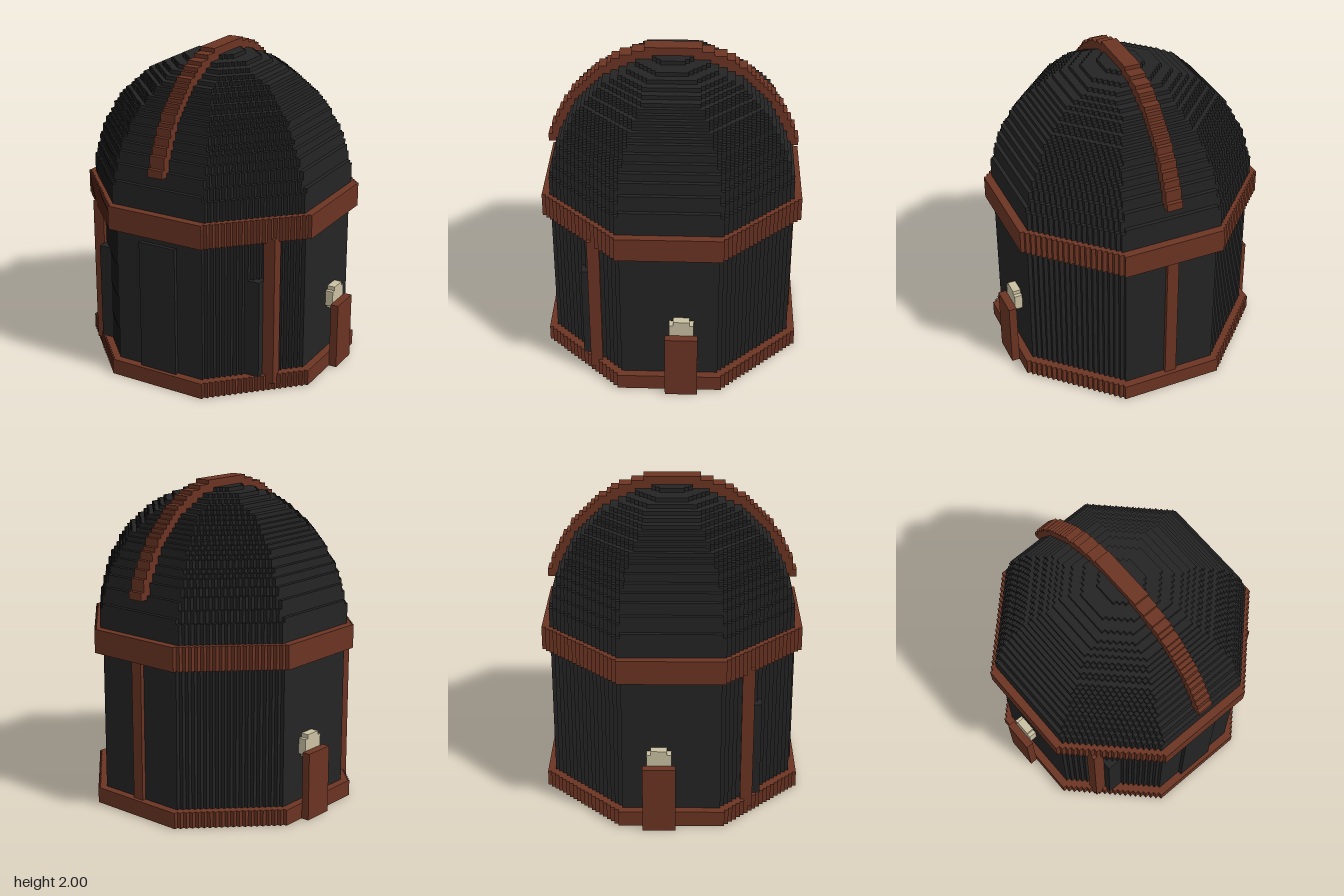
import * as THREE from 'three';
import { mergeGeometries } from 'three/addons/utils/BufferGeometryUtils.js';

const V = 0.025; // block size

// Stepped outline of an octagon of blocks whose outermost block centres lie within r
function steppedOctagon(r) {
  const quad = [];
  for (let j = 0; ; j++) {
    const z = (j + 0.5) * V;
    if (z > r + 1e-6) break;
    const h = V * Math.floor((Math.min(r, r * Math.SQRT2 - z) - V / 2) / V + 1 + 1e-6);
    if (h <= 0) break;
    quad.push([h, j * V], [h, (j + 1) * V]);
  }
  const back = [...quad].reverse();
  const all = [
    ...quad, ...back.map(([x, z]) => [-x, z]),
    ...quad.map(([x, z]) => [-x, -z]), ...back.map(([x, z]) => [x, -z]),
  ];
  // drop repeated points and points inside straight runs
  const pts = all.filter((p, i) => {
    const q = all[(i + 1) % all.length];
    return Math.hypot(p[0] - q[0], p[1] - q[1]) > 1e-6;
  });
  return pts.filter((p, i) => {
    const a = pts[(i + pts.length - 1) % pts.length], b = pts[(i + 1) % pts.length];
    return Math.abs((p[0] - a[0]) * (b[1] - p[1]) - (p[1] - a[1]) * (b[0] - p[0])) > 1e-9;
  }).map(([x, z]) => new THREE.Vector2(x, z));
}

// Upright prism between two heights, optionally hollow
function prism(r, y0, y1, holeR) {
  const shape = new THREE.Shape(steppedOctagon(r));
  if (holeR) shape.holes.push(new THREE.Path(steppedOctagon(holeR)));
  const g = new THREE.ExtrudeGeometry(shape, { depth: y1 - y0, bevelEnabled: false });
  return g.rotateX(-Math.PI / 2).translate(0, y0, 0);
}

export function createModel() {
  const group = new THREE.Group();
  const flat = (name, color) => {
    const m = new THREE.MeshStandardMaterial({ color });
    m.name = name;
    return m;
  };
  const black = flat('charcoal', 0x242424);
  const brown = flat('rustBrown', 0x6b3423);
  const cream = flat('cream', 0xcbc1a3);

  const add = (name, geometry, material) => {
    const mesh = new THREE.Mesh(geometry, material);
    mesh.name = name;
    group.add(mesh);
  };
  const box = (name, material, x0, x1, y0, y1, z0, z1) => add(name,
    new THREE.BoxGeometry(x1 - x0, y1 - y0, z1 - z0)
      .translate((x0 + x1) / 2, (y0 + y1) / 2, (z0 + z1) / 2), material);

  // Walls and the two trim bands
  const wallR = 0.7375, trimR = 0.7875, domeY = 1.125;
  add('walls', prism(wallR, 0, domeY), black);
  add('baseTrim', prism(trimR, 0, 0.1, wallR), brown);
  add('upperTrim', prism(trimR, 0.975, domeY, wallR), brown);

  // Dome: one block-high octagon per layer, following an ellipse
  const ellipse = (y, a, b) => a * Math.sqrt(Math.max(0, 1 - ((y - domeY) / b) ** 2));
  const layers = [];
  for (let i = 0; i < 33; i++) {
    const y = domeY + i * V;
    layers.push(prism(ellipse(y + V / 2, 0.75, 0.825), y, y + V));
  }
  add('dome', mergeGeometries(layers), black);

  // Stepped arch over the dome from front to back
  const side = [];
  for (let i = 0; i < 26; i++) {
    const y = 1.35 + i * V;
    const h = V * Math.round(ellipse(y + V / 2, 0.8, 0.885) / V);
    side.push([h, y], [h, y + V]);
  }
  const archPts = [...side, ...[...side].reverse().map(([z, y]) => [-z, y])];
  const archShape = new THREE.Shape(archPts.map(([z, y]) => new THREE.Vector2(z, y)));
  const arch = new THREE.ExtrudeGeometry(archShape, { depth: 0.1, bevelEnabled: false });
  add('domeArch', arch.translate(0, 0, -0.05).rotateY(-Math.PI / 2), brown);

  // Door and back post
  box('door', black, -0.125, 0.125, 0.1, 0.925, 0.7, 0.775);
  box('backPost', brown, -0.0375, 0.0375, 0.1, 0.975, -0.775, -0.7);

  // Mirrored parts
  for (const s of [1, -1]) {
    const pair = (name, mat, x0, x1, ...rest) =>
      box(name, mat, Math.min(s * x0, s * x1), Math.max(s * x0, s * x1), ...rest);
    const tag = s > 0 ? 'left' : 'right';
    pair(tag + 'FrontPost', brown, 0.575, 0.65, 0.05, 1.0, 0.425, 0.5);
    pair(tag + 'WallPanel', black, 0.5, 0.575, 0.1, 0.725, 0.45, 0.55);
    pair(tag + 'SidePillar', brown, 0.8, 0.85, 0, 0.425, -0.175, 0.025);
    // Lamp with trimmed top and bottom rows
    pair(tag + 'Lamp', cream, 0.75, 0.8, 0.4, 0.5, -0.15, 0);
    pair(tag + 'LampCore', cream, 0.75, 0.8, 0.375, 0.525, -0.125, -0.025);
  }
  return group;
}
